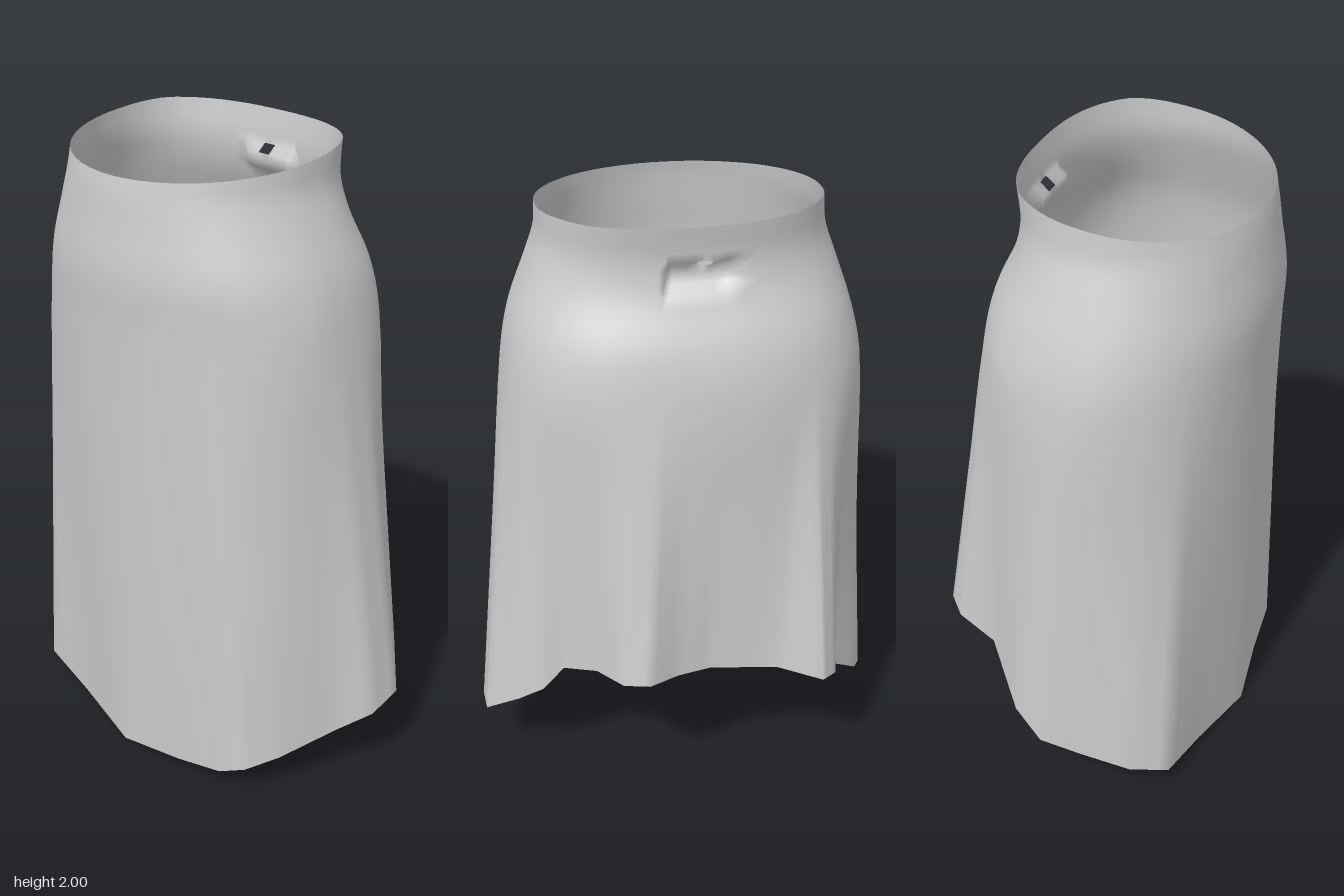
import * as THREE from 'three';

// Hem outline [x, y, z], from front centre round by +x, the back and -x
const HEM = [
  [-0.03, 0, 0.45], [0.2, 0.02, 0.42], [0.38, 0.06, 0.41], [0.46, 0.09, 0.375], [0.52, 0.12, 0.28],
  [0.59, 0.17, 0.1], [0.66, 0.22, 0], [0.655, 0.25, -0.12], [0.55, 0.36, -0.225], [0.47, 0.42, -0.262],
  [0.4, 0.5, -0.264], [0.3, 0.53, -0.335], [0.23, 0.56, -0.46], [0.15, 0.57, -0.49], [0.05, 0.55, -0.425],
  [-0.06, 0.54, -0.39], [-0.28, 0.51, -0.385], [-0.42, 0.49, -0.45], [-0.475, 0.47, -0.395],
  [-0.49, 0.41, -0.27], [-0.62, 0.27, -0.135], [-0.665, 0.21, -0.03], [-0.63, 0.16, 0.09],
  [-0.59, 0.11, 0.25], [-0.52, 0.08, 0.36], [-0.3, 0.035, 0.39],
].map((p) => new THREE.Vector3(...p));

// Rings from waist to hip: height, side centre, side radius, front z, back z
const RINGS = [
  { y: null, cx: -0.03, rx: 0.43, front: 0.45, back: -0.255 },
  { y: 1.89, cx: -0.032, rx: 0.438, front: 0.458, back: -0.24 },
  { y: 1.79, cx: -0.032, rx: 0.472, front: 0.47, back: -0.256 },
  { y: 1.64, cx: -0.03, rx: 0.526, front: 0.487, back: -0.325 },
  { y: 1.48, cx: -0.033, rx: 0.56, front: 0.48, back: -0.36 },
];

const COL_STEPS = 4; // columns per hem point
const ROW_STEPS = 4; // rows per ring gap

// Point on a ring: round in front, squarer at the back
function ringPoint({ y, cx, rx, front, back }, angle) {
  const s = Math.sin(angle), c = Math.cos(angle);
  const cz = 0.07;
  const n = c > 0 ? 2 : 2.5;
  const rz = c > 0 ? front - cz : cz - back;
  const r = (Math.abs(s / rx) ** n + Math.abs(c / rz) ** n) ** (-1 / n);
  const z = cz + r * c;
  // the waist edge climbs from front to back
  const height = y ?? Math.min(2, 1.93 + 0.123 * (0.45 - z));
  return new THREE.Vector3(cx + r * s, height, z);
}

// Shallow recess in the back, just under the waist edge
const inRecess = (i, j) =>
  i > 13 * COL_STEPS && i < 15.5 * COL_STEPS && j > ROW_STEPS && j < 2 * ROW_STEPS;

// Narrow slit along the top of the recess
const inSlit = (i, j) => i >= 14.5 * COL_STEPS && i < 15 * COL_STEPS && j === ROW_STEPS;

function skirtGeometry() {
  const cols = HEM.length * COL_STEPS;
  const rows = (RINGS.length + 1) * ROW_STEPS;
  const positions = [], indices = [];

  // Each column of cloth falls from the waist over the hip to the hem
  for (let i = 0; i < cols; i++) {
    const k = Math.floor(i / COL_STEPS);
    const end = HEM[k].clone().lerp(HEM[(k + 1) % HEM.length], (i % COL_STEPS) / COL_STEPS);
    const angle = Math.atan2(end.x, end.z);
    const points = RINGS.map((ring) => ringPoint(ring, angle));
    const hip = points[points.length - 1];
    points.push(hip.clone().lerp(end, 0.4), end);
    const fall = new THREE.CatmullRomCurve3(points);
    for (let j = 0; j <= rows; j++) {
      const p = fall.getPoint(j / rows);
      if (inRecess(i, j)) p.z += 0.03;
      positions.push(p.x, p.y, p.z);
    }
  }

  for (let i = 0; i < cols; i++) {
    for (let j = 0; j < rows; j++) {
      if (inSlit(i, j)) continue;
      const a = i * (rows + 1) + j;
      const b = ((i + 1) % cols) * (rows + 1) + j;
      indices.push(a, a + 1, b, b, a + 1, b + 1);
    }
  }

  const geometry = new THREE.BufferGeometry();
  geometry.setAttribute('position', new THREE.Float32BufferAttribute(positions, 3));
  geometry.setIndex(indices);
  geometry.computeVertexNormals();
  return geometry;
}

export function createModel() {
  const group = new THREE.Group();
  group.name = 'skirt';
  const cloth = new THREE.MeshStandardMaterial({ color: 0xcccccc, side: THREE.DoubleSide });
  const skirt = new THREE.Mesh(skirtGeometry(), cloth);
  skirt.name = 'skirtCloth';
  group.add(skirt);
  return group;
}
